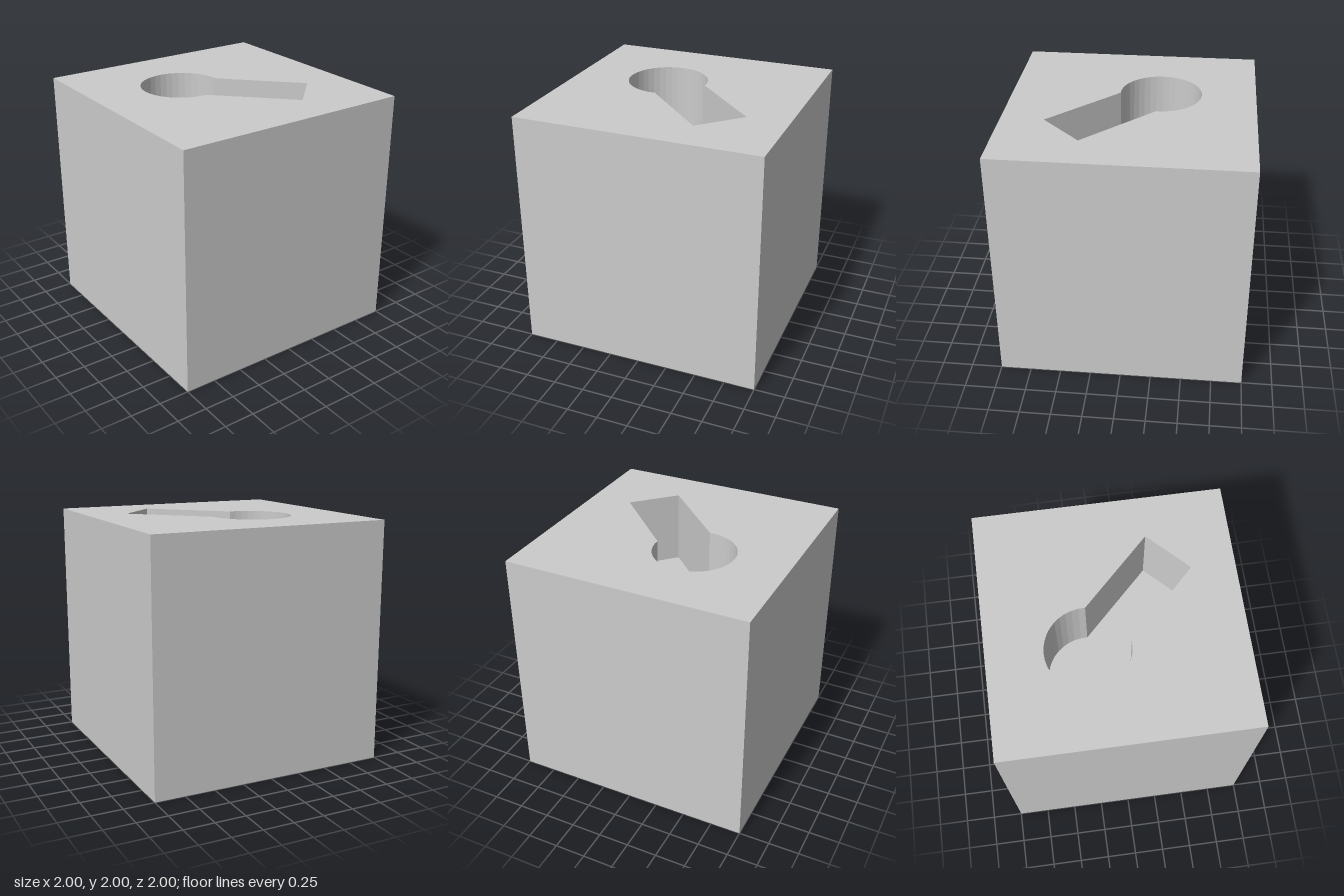
import * as THREE from 'three';

const HEIGHT = 2;
const FLOOR = 1.39;        // level of the pocket floor
const RADIUS = 0.334;      // round end of the keyhole
const HALF_SLOT = 0.222;   // half the slot width
const ROUND_AT = -0.315;   // round centre along the diagonal
const SLOT_END = 0.704;    // slot end along the diagonal

// Keyhole outline, laid along the diagonal towards +x +z (plan y is -z)
function keyholePoints(segments = 30) {
  const onDiagonal = (u, w) =>
    new THREE.Vector2((u + w) * Math.SQRT1_2, (w - u) * Math.SQRT1_2);
  const start = Math.asin(HALF_SLOT / RADIUS);
  const points = [];
  for (let i = 0; i <= segments; i++) {
    const a = start + (i / segments) * (2 * Math.PI - 2 * start);
    points.push(onDiagonal(ROUND_AT + RADIUS * Math.cos(a), RADIUS * Math.sin(a)));
  }
  points.push(onDiagonal(SLOT_END, -HALF_SLOT), onDiagonal(SLOT_END, HALF_SLOT));
  return points;
}

// Horizontal face from a plan shape
function flatFace(shape, y) {
  return new THREE.ShapeGeometry(shape).rotateX(-Math.PI / 2).translate(0, y, 0);
}

// Vertical wall facing into the outline
function pocketWall(points, bottom, top) {
  const positions = [];
  points.forEach((p, i) => {
    const q = points[(i + 1) % points.length];
    const corner = (v, y) => positions.push(v.x, y, -v.y);
    corner(q, bottom); corner(p, bottom); corner(p, top);
    corner(q, bottom); corner(p, top); corner(q, top);
  });
  const geometry = new THREE.BufferGeometry();
  geometry.setAttribute('position', new THREE.Float32BufferAttribute(positions, 3));
  geometry.computeVertexNormals();
  return geometry;
}

export function createModel() {
  const group = new THREE.Group();
  group.name = 'keyholeBlock';
  const material = new THREE.MeshStandardMaterial({ color: 0xcccccc, flatShading: true });
  const add = (name, geometry) => {
    const mesh = new THREE.Mesh(geometry, material);
    mesh.name = name;
    group.add(mesh);
  };

  // Cube sides and base: a box without its top face
  const box = new THREE.BoxGeometry(2, HEIGHT, 2).translate(0, HEIGHT / 2, 0);
  const index = Array.from(box.index.array);
  index.splice(12, 6);
  box.setIndex(index);
  box.clearGroups();
  add('blockSides', box);

  // Top face with the keyhole cut out
  const outline = keyholePoints();
  const top = new THREE.Shape([[-1, -1], [1, -1], [1, 1], [-1, 1]]
    .map(([x, y]) => new THREE.Vector2(x, y)));
  top.holes.push(new THREE.Path(outline));
  add('blockTop', flatFace(top, HEIGHT));

  // Blind keyhole pocket
  add('pocketWall', pocketWall(outline, FLOOR, HEIGHT));
  add('pocketFloor', flatFace(new THREE.Shape(outline), FLOOR));

  return group;
}
